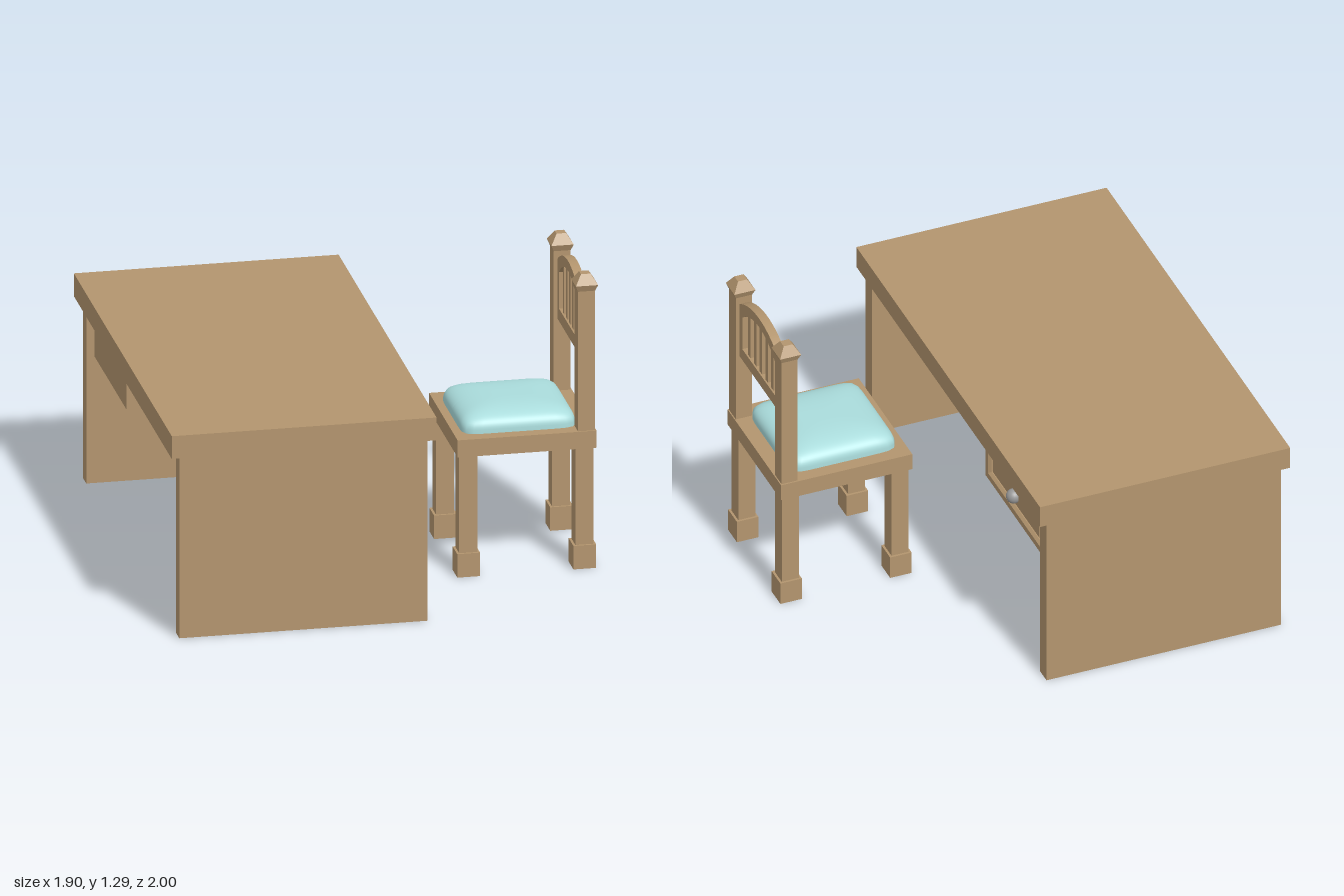
import * as THREE from 'three';

const wood = new THREE.MeshStandardMaterial({ color: 0xb3956e });
const fabric = new THREE.MeshStandardMaterial({ color: 0xaadcdc });
const metal = new THREE.MeshStandardMaterial({ color: 0x999999 });

function add(parent, name, geometry, material = wood) {
  const mesh = new THREE.Mesh(geometry, material);
  mesh.name = name;
  parent.add(mesh);
  return mesh;
}

// Box given by its limits on each axis
function block(parent, name, [x0, x1], [y0, y1], [z0, z1]) {
  const mesh = add(parent, name, new THREE.BoxGeometry(x1 - x0, y1 - y0, z1 - z0));
  mesh.position.set((x0 + x1) / 2, (y0 + y1) / 2, (z0 + z1) / 2);
  return mesh;
}

// Outline in (sideways, y), extruded along +x from x0
function extrudeX(parent, name, shape, x0, depth, options = {}) {
  const geometry = new THREE.ExtrudeGeometry(shape, { depth, bevelEnabled: false, curveSegments: 20, ...options });
  geometry.rotateY(Math.PI / 2);
  const mesh = add(parent, name, geometry);
  mesh.position.x = x0;
  return mesh;
}

function rectangle(width, height, Type = THREE.Shape) {
  const w = width / 2, h = height / 2;
  return new Type([[-w, -h], [w, -h], [w, h], [-w, h]].map(([x, y]) => new THREE.Vector2(x, y)));
}

function createDesk() {
  const desk = new THREE.Group();
  desk.name = 'desk';
  block(desk, 'deskTop', [-0.95, 0.165], [0.795, 0.895], [-1, 1]);
  block(desk, 'sidePanelLeft', [-0.915, 0.13], [0, 0.795], [0.915, 0.985]);
  block(desk, 'sidePanelRight', [-0.915, 0.13], [0, 0.795], [-0.985, -0.915]);

  // Drawer with a framed, raised front
  const drawer = new THREE.Group();
  drawer.name = 'drawer';
  block(drawer, 'drawerBox', [-0.88, 0.085], [0.555, 0.795], [-0.915, -0.26]);
  const frame = rectangle(0.63, 0.215);
  frame.holes.push(rectangle(0.575, 0.16, THREE.Path));
  const bevel = { bevelEnabled: true, bevelThickness: 0.012, bevelSize: 0.01, bevelSegments: 1 };
  extrudeX(drawer, 'drawerFrame', frame, 0.09, 0.008, bevel).position.set(0.09, 0.672, -0.587);
  extrudeX(drawer, 'drawerPanel', rectangle(0.505, 0.105), 0.085, 0.006, bevel).position.set(0.085, 0.672, -0.587);
  add(drawer, 'drawerKnob', new THREE.SphereGeometry(0.032, 24, 16), metal).position.set(0.113, 0.666, -0.585);
  desk.add(drawer);
  return desk;
}

// Four-sided post cap: flares out, then tapers to a flat tip
function capGeometry() {
  const r = Math.SQRT2;
  const points = [[0, 1.215], [0.035, 1.215], [0.047, 1.245], [0.02, 1.288], [0, 1.288]]
    .map(([half, y]) => new THREE.Vector2(half * r, y));
  const flat = new THREE.LatheGeometry(points, 4, Math.PI / 4).toNonIndexed();
  flat.computeVertexNormals();
  return flat;
}

// Domed cushion: inner rings are round, the rim a rounded square
function cushionGeometry(halfX, height, halfZ) {
  const geometry = new THREE.SphereGeometry(1, 64, 20, 0, Math.PI * 2, 0, Math.PI / 2);
  const p = geometry.attributes.position;
  for (let i = 0; i < p.count; i++) {
    const x = p.getX(i), y = Math.max(p.getY(i), 0), z = p.getZ(i);
    const flat = Math.hypot(x, z);
    if (flat < 1e-6) { p.setXYZ(i, 0, height, 0); continue; }
    const rho = Math.pow(flat, 2 / 3);
    const n = 2 + 8 * rho;
    const c = x / flat, s = z / flat;
    const reach = rho / Math.pow(Math.abs(c) ** n + Math.abs(s) ** n, 1 / n);
    const rise = y < 1e-6 ? 0 : Math.pow(y, 2 / 3);
    p.setXYZ(i, c * reach * halfX, rise * height, s * reach * halfZ);
  }
  geometry.computeVertexNormals();
  return geometry;
}

// Arched back frame with an open middle, centred sideways on 0
function backShape() {
  const arch = (Type, half, bottom, side, top) => {
    const sag = top - side;
    const radius = (half * half + sag * sag) / (2 * sag);
    const angle = Math.asin(half / radius);
    const path = new Type();
    path.moveTo(-half, bottom);
    path.lineTo(half, bottom);
    path.lineTo(half, side);
    path.absarc(0, top - radius, radius, Math.PI / 2 - angle, Math.PI / 2 + angle, false);
    path.lineTo(-half, bottom);
    return path;
  };
  const shape = arch(THREE.Shape, 0.215, 0.92, 1.183, 1.25);
  shape.holes.push(arch(THREE.Path, 0.184, 0.975, 1.135, 1.207));
  return shape;
}

function createChair() {
  const chair = new THREE.Group();
  chair.name = 'chair';
  const midZ = 0.218;
  block(chair, 'seat', [0.355, 0.94], [0.53, 0.605], [midZ - 0.292, midZ + 0.292]);
  add(chair, 'cushion', cushionGeometry(0.242, 0.09, 0.235), fabric).position.set(0.632, 0.605, midZ);

  for (const side of [-1, 1]) {
    const z = midZ + side * 0.237;
    for (const x of [0.403, 0.892]) {
      block(chair, 'leg', [x - 0.038, x + 0.038], [0.1, 0.53], [z - 0.038, z + 0.038]);
      block(chair, 'foot', [x - 0.048, x + 0.048], [0, 0.103], [z - 0.048, z + 0.048]);
    }
    const postZ = midZ + side * 0.249;
    block(chair, 'backPost', [0.863, 0.935], [0.605, 1.22], [postZ - 0.036, postZ + 0.036]);
    add(chair, 'postCap', capGeometry()).position.set(0.899, 0, postZ);
  }

  // Backrest and its upright slats
  extrudeX(chair, 'backFrame', backShape(), 0.88, 0.038).position.z = midZ;
  for (let i = -2; i <= 2; i++) {
    const z = midZ + i * 0.0625;
    const top = 1.22 - 0.01 * i * i;
    block(chair, 'backSlat', [0.887, 0.911], [0.97, top], [z - 0.0135, z + 0.0135]);
  }
  return chair;
}

export function createModel() {
  const model = new THREE.Group();
  model.name = 'deskAndChair';
  model.add(createDesk(), createChair());
  return model;
}
